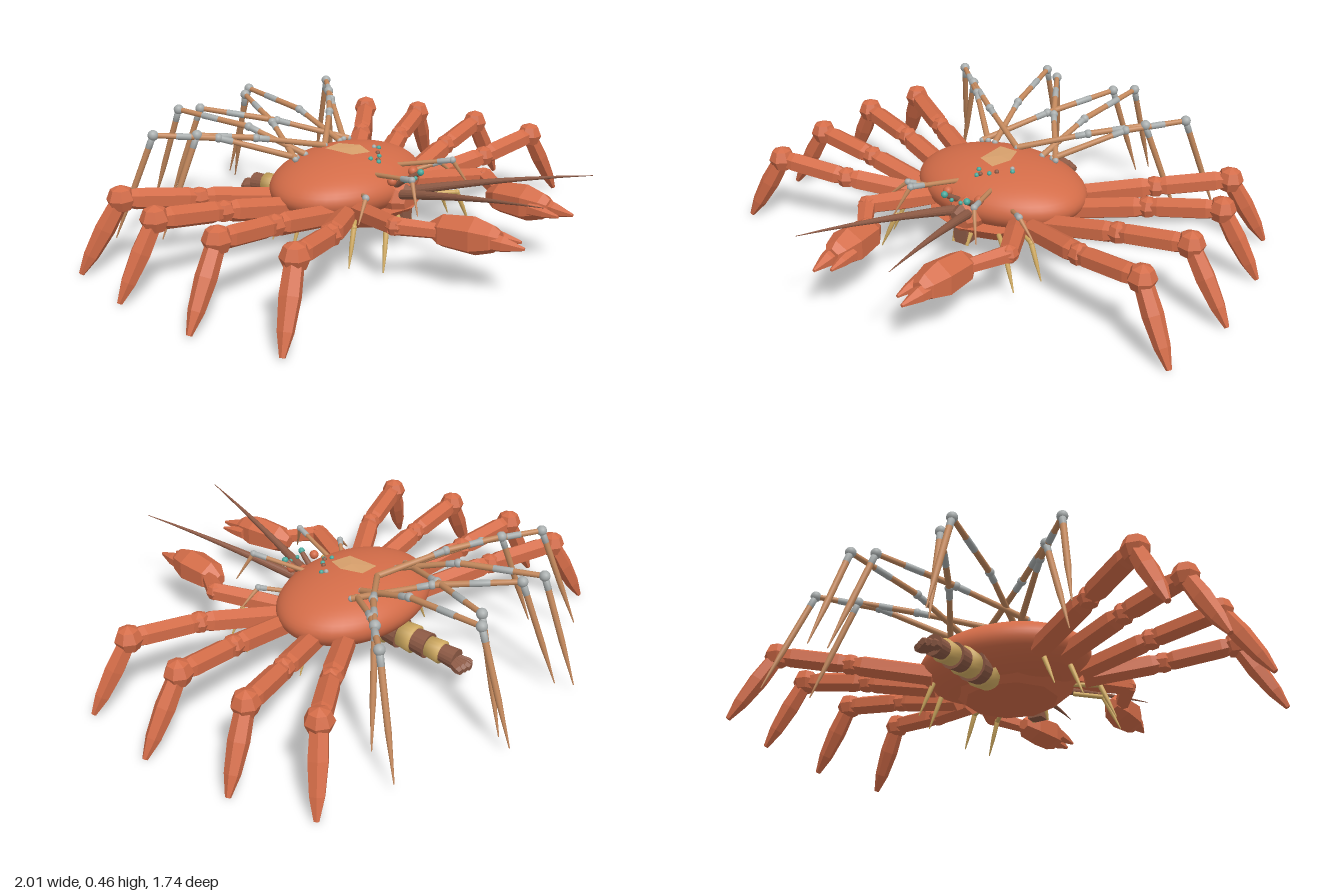
import * as THREE from 'three';

const mat = (name, color, flat = true) => {
  const m = new THREE.MeshStandardMaterial({ color, flatShading: flat, side: THREE.DoubleSide });
  m.name = name;
  return m;
};
const M = {
  shell: mat('shell red', 0xd36c48, false),
  limb: mat('limb red', 0xd36c48),
  tan: mat('patch tan', 0xd8a06c),
  copper: mat('copper', 0xc3885c, false),
  steel: mat('steel grey', 0xa9aeae, false),
  brass: mat('brass', 0xd0aa60, false),
  brown: mat('dark brown', 0x8d5a45),
  teal: mat('teal', 0x4aa99c, false),
};
const V = (x, y, z) => new THREE.Vector3(x, y, z);

export function createModel() {
  const root = new THREE.Group();
  root.name = 'mechanicalCrab';

  const add = (name, geo, material, pos, parent = root) => {
    const m = new THREE.Mesh(geo, material);
    m.name = name;
    if (pos) m.position.copy(pos);
    parent.add(m);
    return m;
  };
  // Bar from a to b with a ridge on top; profile holds [fraction along, radius] pairs
  const bar = (name, a, b, profile, sides, material, parent) => {
    const len = a.distanceTo(b);
    const pts = [[0, profile[0][0] * len], ...profile.map(([t, r]) => [r, t * len]), [0, len]];
    const geo = new THREE.LatheGeometry(pts.map(p => new THREE.Vector2(...p)), sides);
    const m = add(name, geo, material, a, parent);
    const along = b.clone().sub(a).normalize();
    const across = along.clone().cross(V(0, 1, 0)).normalize();
    m.quaternion.setFromRotationMatrix(
      new THREE.Matrix4().makeBasis(across, along, across.clone().cross(along)));
    return m;
  };
  const bead = (name, p, r, material, parent) =>
    add(name, new THREE.IcosahedronGeometry(r, 2), material, p, parent);
  const knuckle = (name, p, r, parent) =>
    add(name, new THREE.SphereGeometry(r, 7, 4), M.limb, p, parent);

  // Domed shell
  const C = V(0, 0.222, -0.045), R = V(0.35, 0.12, 0.255);
  const shell = add('shell', new THREE.SphereGeometry(1, 48, 28), M.shell, C);
  shell.scale.copy(R);
  const onShell = (x, z, lift = 0.002) =>
    V(x, C.y + lift + R.y * Math.sqrt(Math.max(0, 1 - (x / R.x) ** 2 - ((z - C.z) / R.z) ** 2)), z);

  // Tan plate lying on the shell
  const patch = [[-0.05, -0.11], [0.03, -0.105], [0.055, -0.02], [0.02, 0.05], [-0.055, 0.02]];
  const tri = [], mid = onShell(0, -0.03, 0.005);
  patch.forEach((p, i) => {
    const q = patch[(i + 1) % patch.length];
    tri.push(mid, onShell(...q, 0.006), onShell(...p, 0.006));
  });
  add('shellPatch', new THREE.BufferGeometry().setFromPoints(tri), M.tan).geometry.computeVertexNormals();

  // Small studs set in the shell
  [[-0.02, 0.08, 'teal'], [0.0, 0.1, 'brown'], [0.03, 0.085, 'teal'], [0.05, 0.065, 'brown'],
    [0.09, 0.02, 'steel'], [0.1, 0.035, 'teal'], [-0.01, 0.11, 'teal']]
    .forEach(([x, z, c]) => bead('shellStud', onShell(x, z), 0.009, M[c], root));

  // Broad underside plate
  const belly = add('belly', new THREE.CylinderGeometry(0.26, 0.18, 0.07, 10), M.limb, V(0, 0.13, 0.01));
  belly.scale.z = 0.95;

  // Head, snout and mouth
  bar('head', V(0, 0.2, 0.12), V(0, 0.19, 0.245), [[0, 0.085], [0.7, 0.07], [1, 0.04]], 8, M.limb);
  bar('snout', V(0, 0.22, 0.18), V(0, 0.22, 0.27), [[0, 0.05], [1, 0.015]], 6, M.brown);
  add('mouth', new THREE.BoxGeometry(0.06, 0.07, 0.05), M.brown, V(0, 0.125, 0.21));

  // Banded tail with an end fan
  const bands = 6;
  const tailPoint = t => V(0, 0.142 - 0.03 * t, -0.15 - 0.36 * t);
  for (let i = 0; i < bands; i++) {
    const r = 0.066 - 0.032 * (i / bands);
    bar('tailBand', tailPoint(i / bands), tailPoint((i + 1) / bands),
      [[0, r - 0.005], [1, r]], 18, i % 2 ? M.brown : M.brass);
  }
  for (let i = -2; i <= 2; i++) {
    const end = V(i * 0.018, 0.1 - Math.abs(i) * 0.004, -0.57 + Math.abs(i) * 0.008);
    bar('tailFan', V(i * 0.006, 0.11, -0.48), end, [[0, 0.016], [0.8, 0.019], [1, 0.013]], 6, M.brown);
  }

  // Walking legs: hip, middle joint, knee, tip in [x, z]
  const legs = [
    [[0.25, 0.13], [0.52, 0.265], [0.79, 0.335], [0.935, 0.395]],
    [[0.28, 0.07], [0.56, 0.06], [0.83, 0.05], [0.995, 0.068]],
    [[0.28, -0.08], [0.56, -0.17], [0.82, -0.24], [0.965, -0.28]],
    [[0.23, -0.18], [0.51, -0.335], [0.75, -0.48], [0.88, -0.57]],
  ];
  // Thin rear legs: base, middle joint, knee, tip
  const thin = [
    [[0.15, 0.32, -0.17], [0.35, 0.41, -0.38], [0.525, 0.435, -0.54], [0.62, 0.03, -0.675]],
    [[0.0, 0.335, -0.15], [0.23, 0.395, -0.30], [0.405, 0.425, -0.435], [0.53, 0.03, -0.52]],
    [[0.11, 0.325, -0.16], [0.157, 0.405, -0.4], [0.212, 0.435, -0.72], [0.232, 0.025, -0.87]],
    [[-0.17, 0.32, -0.16], [-0.015, 0.39, -0.4], [0.136, 0.43, -0.675], [0.2, 0.025, -0.81]],
  ];

  for (const s of [1, -1]) {
    const side = new THREE.Group();
    side.name = s > 0 ? 'leftSide' : 'rightSide';
    root.add(side);
    const P = (x, y, z) => V(s * x, y, z);

    legs.forEach(l => {
      const g = new THREE.Group();
      g.name = 'walkingLeg';
      side.add(g);
      const [hip, joint, knee, tip] = l.map(([x, z], i) => P(x, [0.18, 0.232, 0.268, 0.004][i], z));
      bar('thigh', hip, joint, [[0, 0.042], [0.85, 0.042], [1, 0.028]], 6, M.limb, g);
      knuckle('legJoint', joint, 0.042, g);
      bar('shin', joint, knee, [[0, 0.028], [0.15, 0.04], [0.8, 0.04], [1, 0.028]], 6, M.limb, g);
      knuckle('knee', knee, 0.052, g);
      bar('foot', knee, tip, [[0, 0.032], [0.4, 0.037], [0.75, 0.028], [1, 0.01]], 6, M.limb, g);
    });

    thin.forEach(l => {
      const g = new THREE.Group();
      g.name = 'thinLeg';
      side.add(g);
      const p = l.map(c => P(...c));
      for (let i = 0; i < 3; i++) {
        const end = i < 2 ? 0.01 : 0.002;
        const [from, to] = [[0.82, 0.97], [0.42, 0.65], [0.03, 0.12]][i];
        bar('thinRod', p[i], p[i + 1], [[0, 0.012], [0.6, 0.011], [1, end]], 14, M.copper, g);
        const at = t => p[i].clone().lerp(p[i + 1], t);
        bar('rodSleeve', at(from), at(to), [[0, 0.0125], [1, 0.0125]], 14, M.steel, g);
        bead('rodJoint', p[i], [0.012, 0.017, 0.02][i], M.steel, g);
      }
    });

    // Claw arm, hand and two fingers
    const claw = new THREE.Group();
    claw.name = 'claw';
    side.add(claw);
    const sh = P(0.19, 0.19, 0.13), el = P(0.315, 0.225, 0.385), wr = P(0.225, 0.205, 0.51);
    bar('upperArm', sh, el, [[0, 0.036], [0.4, 0.04], [1, 0.036]], 6, M.limb, claw);
    knuckle('elbow', el, 0.036, claw);
    bar('forearm', el, wr, [[0, 0.034], [1, 0.028]], 6, M.limb, claw);
    bar('hand', P(0.21, 0.2, 0.46), P(0.187, 0.21, 0.72),
      [[0, 0.024], [0.2, 0.06], [0.65, 0.07], [0.9, 0.05], [1, 0.03]], 6, M.limb, claw);
    bar('outerFinger', P(0.205, 0.205, 0.66), P(0.188, 0.2, 0.81), [[0, 0.036], [0.5, 0.028], [1, 0.006]], 6, M.limb, claw);
    bar('innerFinger', P(0.15, 0.205, 0.66), P(0.142, 0.2, 0.775), [[0, 0.028], [0.5, 0.02], [1, 0.006]], 6, M.limb, claw);

    // Curved antenna built from tapering rods
    const curve = new THREE.QuadraticBezierCurve3(P(0.03, 0.22, 0.23), P(0.115, 0.31, 0.56), P(0.195, 0.36, 0.87));
    const n = 6;
    for (let i = 0; i < n; i++) {
      const r = t => 0.018 * (1 - t) + 0.001;
      bar('antenna', curve.getPoint(i / n), curve.getPoint((i + 1) / n),
        [[0, r(i / n)], [1, r((i + 1) / n)]], 14, M.brown, side);
    }

    // Eye on a short stalk, with a red bead beside it
    bar('eyeStalk', P(0.03, 0.25, 0.2), P(0.045, 0.285, 0.25), [[0, 0.012], [1, 0.01]], 14, M.brown, side);
    bead('eye', P(0.05, 0.29, 0.258), 0.013, M.teal, side);
    bead('cheekBead', P(0.07, 0.28, 0.21), 0.018, M.shell, side);
    bead('browStud', P(0.02, 0.275, 0.255), 0.008, M.teal, side);

    // Small jointed feelers at the front
    [[[0.07, 0.29, 0.13], [0.14, 0.33, 0.34], [0.185, 0.22, 0.395]],
      [[0.16, 0.24, 0.14], [0.25, 0.27, 0.22], [0.33, 0.2, 0.245]]].forEach(f => {
      const [a, b, c] = f.map(q => P(...q));
      bar('feelerArm', a, b, [[0, 0.009], [1, 0.008]], 14, M.copper, side);
      bar('feelerSleeve', a.clone().lerp(b, 0.75), b, [[0, 0.0105], [1, 0.0105]], 14, M.steel, side);
      bead('feelerJoint', b, 0.013, M.steel, side);
      bar('feelerTip', b, c, [[0, 0.009], [1, 0.002]], 14, M.copper, side);
    });

    // Slender brass legs under the body, and a brass mouth palp
    bar('palp', P(0.035, 0.16, 0.2), P(0.03, 0.09, 0.235), [[0, 0.012], [1, 0.006]], 14, M.brass, side);
    [[0.33, 0.3], [0.21, 0.34], [-0.05, 0.335], [-0.18, 0.29]].forEach(([z, x]) => {
      const base = P(x - 0.14, 0.165, z * 0.65), knee = P(x - 0.055, 0.165, z * 0.92);
      bar('brassArm', base, knee, [[0, 0.009], [1, 0.009]], 14, M.brass, side);
      bead('brassJoint', knee, 0.011, M.brass, side);
      bar('brassTip', knee, P(x, 0.03, z), [[0, 0.01], [0.5, 0.008], [1, 0.002]], 14, M.brass, side);
    });
  }
  return root;
}
